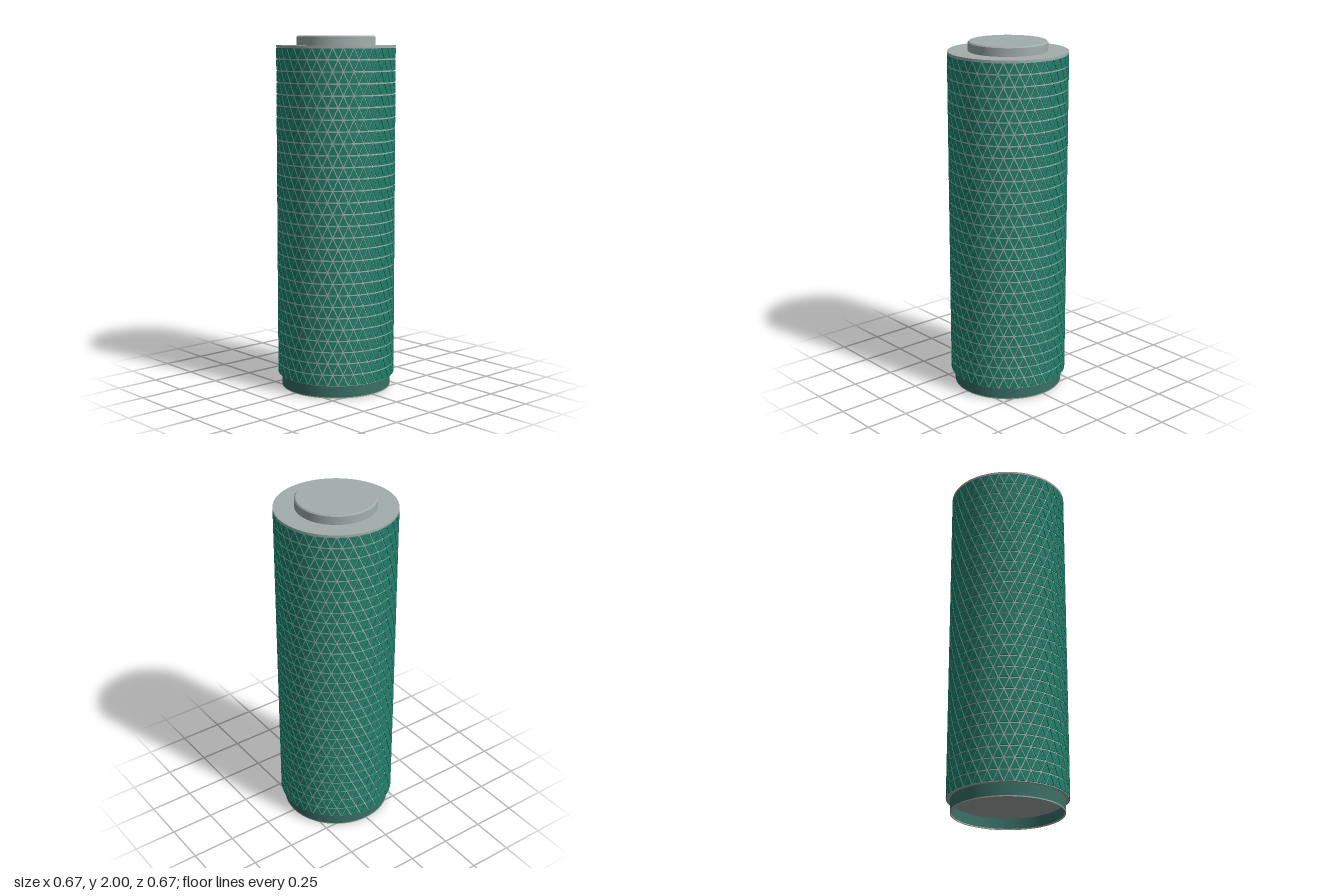
import * as THREE from 'three';

const paint = (name, color, side = THREE.FrontSide) => {
  const m = new THREE.MeshStandardMaterial({ color, side });
  m.name = name;
  return m;
};

// Sharp-edged turned part: one lathe band per profile segment
function turned(name, profile, material) {
  const group = new THREE.Group();
  group.name = name;
  for (let i = 0; i < profile.length - 1; i++) {
    const pts = [profile[i], profile[i + 1]].map(([r, y]) => new THREE.Vector2(r, y));
    const band = new THREE.Mesh(new THREE.LatheGeometry(pts, 96), material);
    band.name = name + 'Band';
    group.add(band);
  }
  return group;
}

// Raised triangular pads in staggered rows around a cylinder
function padGeometry(rows, columns, y0, y1, inner, outer, shrink) {
  const pos = [];
  const rowH = (y1 - y0) / rows;
  const step = (Math.PI * 2) / columns;
  const point = ([a, y], r) => [Math.sin(a) * r, y, Math.cos(a) * r];
  for (let row = 0; row < rows; row++) {
    const low = y0 + row * rowH, high = low + rowH;
    const shift = (row % 2) * step / 2;
    for (let col = 0; col < columns; col++) {
      const a = col * step + shift;
      const up = [[a, low], [a + step, low], [a + step / 2, high]];
      const down = [[a + step, low], [a + step * 1.5, high], [a + step / 2, high]];
      for (const tri of [up, down]) {
        // pull the corners towards the middle to leave a groove
        const ca = (tri[0][0] + tri[1][0] + tri[2][0]) / 3;
        const cy = (tri[0][1] + tri[1][1] + tri[2][1]) / 3;
        const t = tri.map(([u, v]) => [ca + (u - ca) * shrink, cy + (v - cy) * shrink]);
        const top = t.map((p) => point(p, outer));
        const base = t.map((p) => point(p, inner));
        pos.push(...top[0], ...top[1], ...top[2]);
        for (let i = 0; i < 3; i++) {
          const j = (i + 1) % 3;
          pos.push(...base[i], ...base[j], ...top[j], ...base[i], ...top[j], ...top[i]);
        }
      }
    }
  }
  const g = new THREE.BufferGeometry();
  g.setAttribute('position', new THREE.Float32BufferAttribute(pos, 3));
  g.computeVertexNormals();
  return g;
}

export function createModel() {
  const model = new THREE.Group();
  model.name = 'texturedCylinder';
  const grey = paint('grey metal', 0xa3afac);
  const green = paint('green pads', 0x23806c);
  const darkGreen = paint('dark green base', 0x3a7065);

  // Main body, capped by a flat rim
  model.add(turned('body', [
    [0, 0.07], [0.329, 0.075], [0.329, 1.935], [0.334, 1.935], [0.334, 1.947], [0, 1.947],
  ], grey));

  // Triangular grip texture
  const pads = new THREE.Mesh(padGeometry(29, 36, 0.075, 1.935, 0.328, 0.3345, 0.83), green);
  pads.name = 'gripPads';
  model.add(pads);

  // Raised top button with a bevelled edge
  model.add(turned('topButton', [[0.22, 1.945], [0.22, 1.993], [0.214, 2], [0, 2]], grey));

  // Hollow base collar: inner wall, then outer wall
  model.add(turned('baseInnerWall', [[0.304, 0.068], [0.304, 0.006]], darkGreen));
  model.add(turned('baseOuterWall', [[0.311, 0.006], [0.311, 0.076]], darkGreen));

  // Thin lip and recessed floor of the base
  model.add(turned('baseLip', [[0.304, 0.006], [0.304, 0], [0.311, 0], [0.311, 0.006]], grey));
  model.add(turned('baseFloor', [[0, 0.065], [0.304, 0.065]], grey));

  return model;
}
